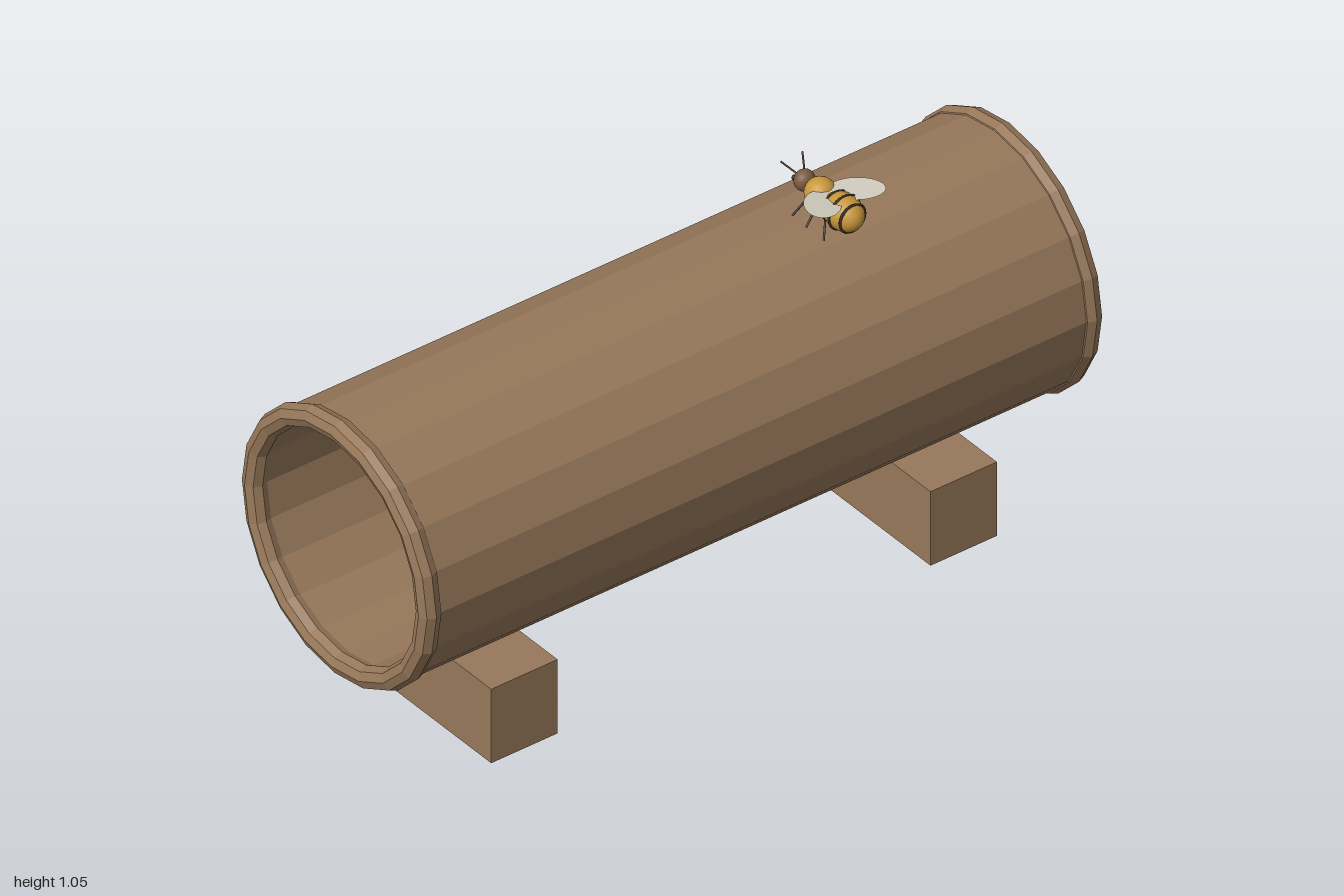
import * as THREE from 'three';

const paint = (name, color) => {
  const m = new THREE.MeshStandardMaterial({ color });
  m.name = name;
  return m;
};

// gives every face its own normal
const faceted = (geometry) => {
  const g = geometry.index ? geometry.toNonIndexed() : geometry;
  g.computeVertexNormals();
  return g;
};

export function createModel() {
  const wood = paint('wood', 0x97785a);
  const honey = paint('honey', 0xc09b45);
  const wax = paint('wax', 0xc8ae52);
  const gold = paint('beeGold', 0xc8973c);
  const headBrown = paint('headBrown', 0x7c5a42);
  const dark = paint('dark', 0x3a3028);
  const wingPale = paint('wingPale', 0xcfccbe);
  wingPale.side = THREE.DoubleSide;

  const model = new THREE.Group();
  model.name = 'logHive';
  const add = (parent, name, geometry, material, x = 0, y = 0, z = 0) => {
    const mesh = new THREE.Mesh(geometry, material);
    mesh.name = name;
    mesh.position.set(x, y, z);
    parent.add(mesh);
    return mesh;
  };
  const axisY = 0.565;

  // hollow log lying along x
  const outer = 0.35, inner = 0.31, half = 0.97;
  const profile = [[outer, -half], [outer, half], [inner, half], [inner, -half], [outer, -half]]
    .map(([r, y]) => new THREE.Vector2(r, y));
  const log = faceted(new THREE.LatheGeometry(profile, 20).rotateZ(-Math.PI / 2));
  add(model, 'log', log, wood, 0, axisY, 0);

  // rounded rims and support blocks at both ends
  for (const side of [-1, 1]) {
    const rim = faceted(new THREE.TorusGeometry(0.332, 0.03, 8, 20).rotateY(Math.PI / 2));
    add(model, 'rim', rim, wood, side * 0.97, axisY, 0);
    add(model, 'supportBlock', new THREE.BoxGeometry(0.195, 0.212, 0.55), wood, side * 0.645, 0.106, 0);
  }

  // comb disc set inside one end, with hexagonal cells
  const disc = faceted(new THREE.CylinderGeometry(0.273, 0.273, 0.02, 20).rotateZ(-Math.PI / 2));
  add(model, 'combDisc', disc, honey, 0.79, axisY, 0);
  const cell = faceted(new THREE.CylinderGeometry(0.0375, 0.0375, 0.009, 6).rotateX(0).rotateZ(-Math.PI / 2));
  const addCell = (r, a) =>
    add(model, 'combCell', cell, wax, 0.8045, axisY + r * Math.sin(a), r * Math.cos(a));
  addCell(0, 0);
  for (let i = 0; i < 6; i++) {
    addCell(0.074, i * Math.PI / 3);
    addCell(0.147, i * Math.PI / 3);
  }

  // bee facing -z above the log
  const bee = new THREE.Group();
  bee.name = 'bee';
  bee.position.set(0.4, 1, 0);
  model.add(bee);
  const ball = new THREE.SphereGeometry(1, 20, 14).rotateX(Math.PI / 2);
  const blob = (name, material, p, s) => add(bee, name, ball, material, ...p).scale.set(...s);
  blob('abdomen', gold, [0, 0, 0.134], [0.044, 0.046, 0.061]);
  blob('thorax', gold, [0, 0.005, 0.047], [0.039, 0.039, 0.04]);
  blob('head', headBrown, [0, 0.006, -0.014], [0.027, 0.028, 0.025]);

  // abdomen stripes follow the ellipsoid
  for (const z of [0.105, 0.137, 0.169]) {
    const k = Math.sqrt(1 - ((z - 0.134) / 0.061) ** 2);
    const stripe = new THREE.TorusGeometry(0.045 * k, 0.0035, 6, 24);
    add(bee, 'stripe', stripe, dark, 0, 0, z);
  }

  const rod = (name, a, b, r) => {
    const path = new THREE.LineCurve3(new THREE.Vector3(...a), new THREE.Vector3(...b));
    add(bee, name, new THREE.TubeGeometry(path, 1, r, 6), dark);
  };

  // leg roots and feet as [z, y]
  const legs = [[[0.09, -0.025], [0.128, -0.064]], [[0.053, -0.025], [0.061, -0.064]], [[0.02, -0.02], [0.008, -0.06]]];
  for (const s of [-1, 1]) {
    for (const [[z0, y0], [z1, y1]] of legs) rod('leg', [s * 0.018, y0, z0], [s * 0.053, y1, z1], 0.0028);
    rod('antenna', [s * 0.01, 0.02, -0.027], [s * 0.032, 0.045, -0.064], 0.0025);
    blob('eye', dark, [s * 0.018, 0.012, -0.029], [0.007, 0.008, 0.007]);

    // flat oval wing, swept back and slightly raised
    const wing = new THREE.CircleGeometry(1, 28).scale(0.045, 0.07, 1)
      .rotateX(Math.PI / 2).rotateY(s * 0.62).translate(s * 0.05, 0, 0.12);
    const p = wing.attributes.position;
    for (let i = 0; i < p.count; i++) {
      p.setY(i, 0.024 + 0.1 * Math.abs(p.getX(i)) + 0.1 * (p.getZ(i) - 0.05));
    }
    wing.computeVertexNormals();
    add(bee, 'wing', wing, wingPale);
  }
  return model;
}
